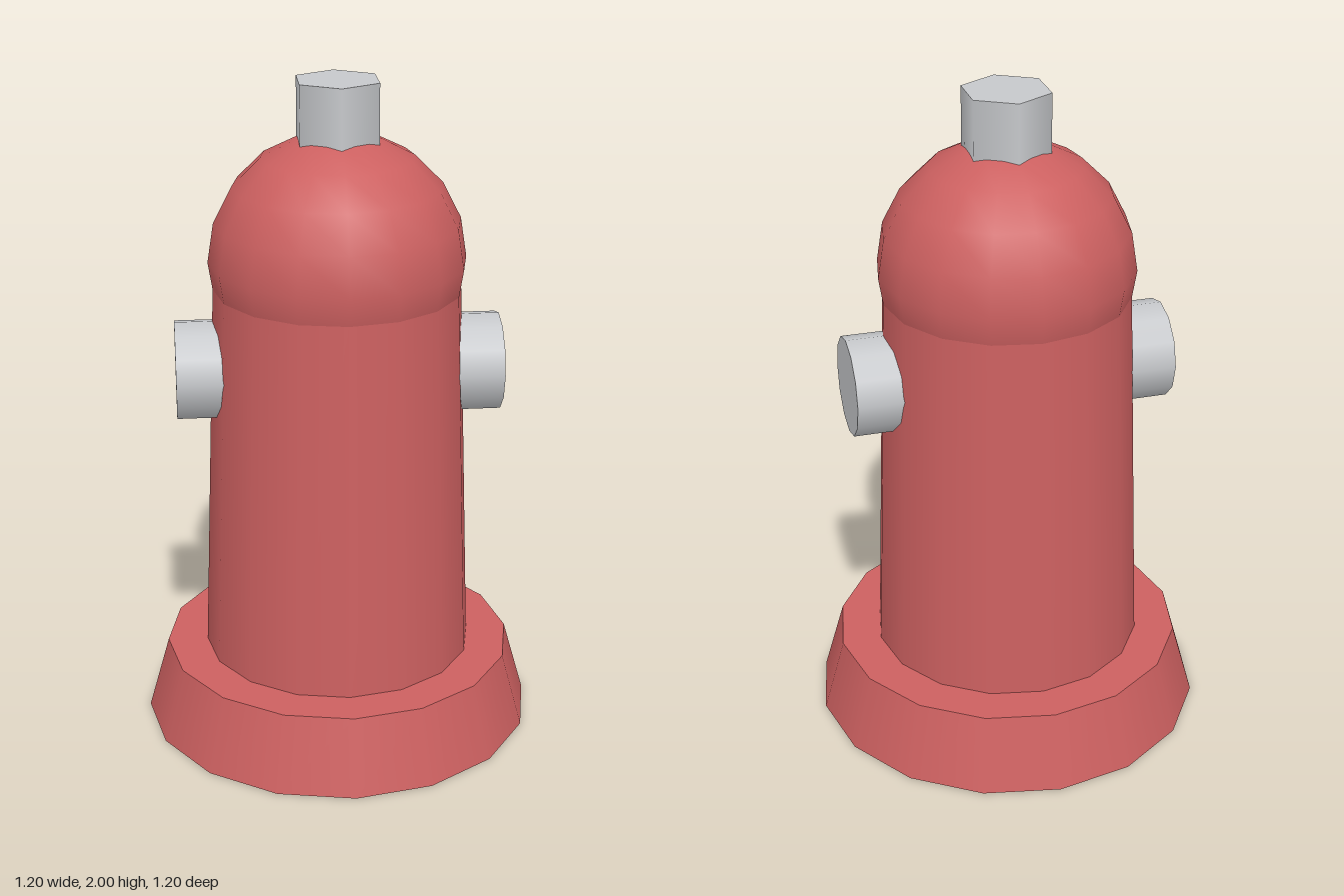
import * as THREE from 'three';

export function createModel() {
  const hydrant = new THREE.Group();
  hydrant.name = 'hydrant';

  const red = new THREE.MeshStandardMaterial({ color: 0xcc6060 });
  red.name = 'red paint';
  const grey = new THREE.MeshStandardMaterial({ color: 0xc6c8cb });
  grey.name = 'grey metal';

  const add = (name, geometry, material, x, y, z = 0) => {
    const mesh = new THREE.Mesh(geometry, material);
    mesh.name = name;
    mesh.position.set(x, y, z);
    hydrant.add(mesh);
    return mesh;
  };

  // Flared foot, tapered barrel and domed bonnet
  add('base', new THREE.CylinderGeometry(0.535, 0.6, 0.23, 16), red, 0, 0.115);
  add('barrel', new THREE.CylinderGeometry(0.368, 0.413, 1.2, 16), red, 0, 0.81);
  add('dome', new THREE.SphereGeometry(0.382, 16, 10), red, 0, 1.467);

  // Hexagonal nut on top
  add('topNut', new THREE.CylinderGeometry(0.132, 0.132, 0.22, 6), grey, 0, 1.89);

  // Outlet caps, one on each side
  for (const side of [1, -1]) {
    const cap = add(side > 0 ? 'leftOutletCap' : 'rightOutletCap',
      new THREE.CylinderGeometry(0.149, 0.149, 0.2, 12), grey, side * 0.385, 1.137);
    cap.rotation.z = -side * Math.PI / 2;
  }

  return hydrant;
}
